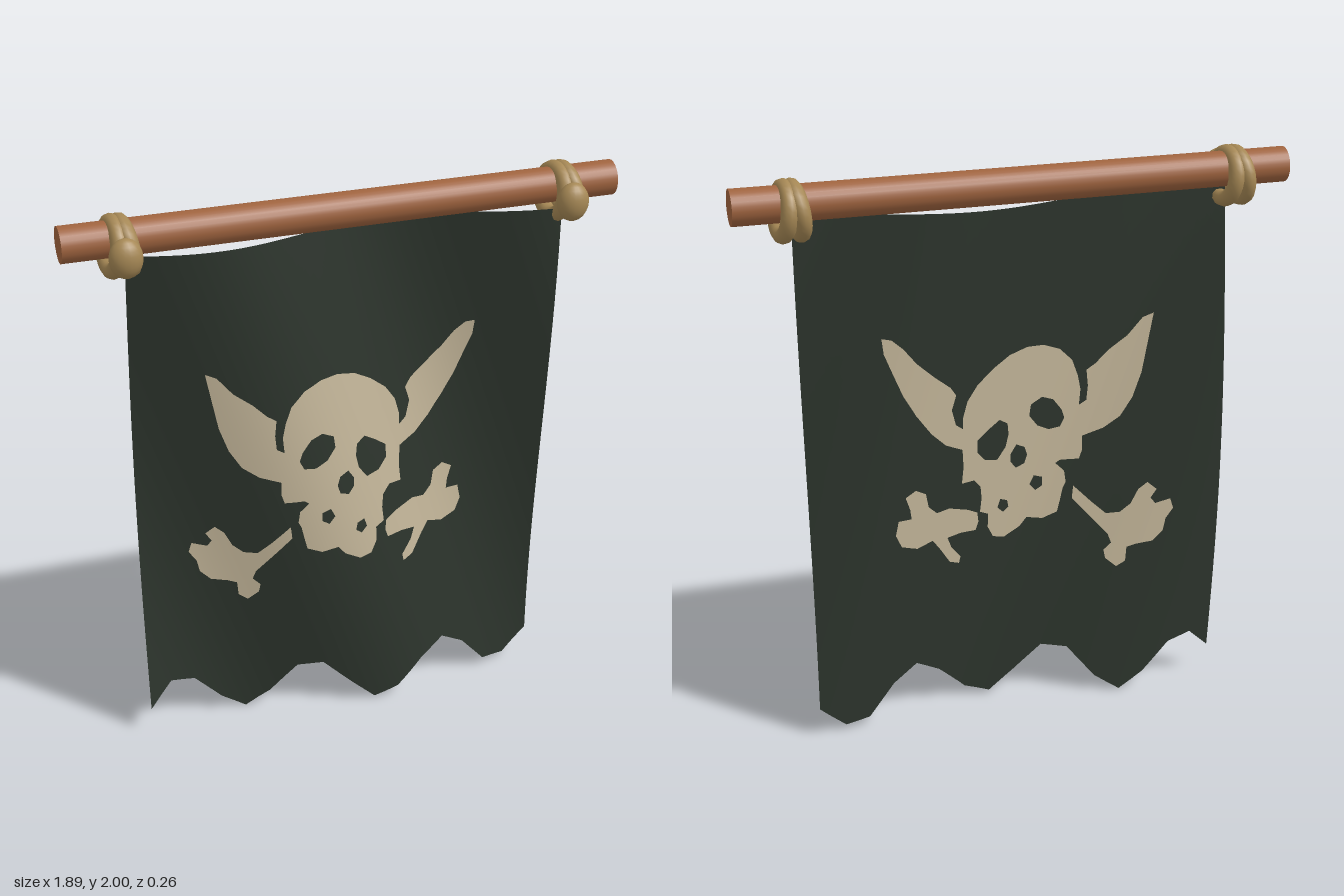
import * as THREE from 'three';

const wood = new THREE.MeshStandardMaterial({ color: 0xa0643f });
wood.name = 'wood';
const rope = new THREE.MeshStandardMaterial({ color: 0xa68855 });
rope.name = 'rope';
const cloth = new THREE.MeshStandardMaterial({ color: 0x2d352d, side: THREE.DoubleSide });
cloth.name = 'dark cloth';
const paint = new THREE.MeshStandardMaterial({ color: 0xc8ba9d, side: THREE.DoubleSide });
paint.name = 'bone paint';

// A wave that drifts sideways down the cloth
const K = 5.2;
const phase = (x, y) => K * (x + 0.45 - 0.337 * (1.855 - y));
const waveZ = (x, y) => -0.02 + 0.06 * Math.cos(phase(x, y));

// Cuts a flat shape into small triangles and lays it on the wave
function drape(shape, offset) {
  const flat = new THREE.ShapeGeometry(shape);
  const p = flat.attributes.position;
  const idx = flat.index.array;
  const pos = [];
  const nor = [];
  const n = new THREE.Vector3();
  const split = (a, b, c) => {
    const ab = a.distanceTo(b), bc = b.distanceTo(c), ca = c.distanceTo(a);
    const longest = Math.max(ab, bc, ca);
    if (longest > 0.06) {
      if (longest === bc) [a, b, c] = [b, c, a];
      else if (longest === ca) [a, b, c] = [c, a, b];
      const m = a.clone().add(b).multiplyScalar(0.5);
      split(a, m, c);
      split(m, b, c);
      return;
    }
    for (const v of [a, b, c]) {
      const s = 0.06 * K * Math.sin(phase(v.x, v.y));
      n.set(s, s * 0.337, 1).normalize();
      pos.push(v.x, v.y, waveZ(v.x, v.y) + offset);
      nor.push(n.x, n.y, n.z);
    }
  };
  const at = (i) => new THREE.Vector2(p.getX(i), p.getY(i));
  for (let i = 0; i < idx.length; i += 3) split(at(idx[i]), at(idx[i + 1]), at(idx[i + 2]));
  const g = new THREE.BufferGeometry();
  g.setAttribute('position', new THREE.Float32BufferAttribute(pos, 3));
  g.setAttribute('normal', new THREE.Float32BufferAttribute(nor, 3));
  return g;
}

// Turns x, y pairs into points
function points(list, scale = 1) {
  const out = [];
  for (let i = 0; i < list.length; i += 2) out.push(new THREE.Vector2(list[i] * scale, list[i + 1] * scale));
  return out;
}

// Emblem outlines, drawn on a grid of 0.0053 units
const GRID = 0.0053;
const skull = [
  -95, 268, -88, 265, -78, 253, -66, 244, -57, 235, -51, 231, -52, 220, -51, 210, -46, 207,
  -47, 218, -45, 228, -41, 239, -32, 248, -20, 253, -8, 254, 5, 251, 17, 244, 28, 235, 35, 225,
  38, 214, 38, 206, 43, 210, 46, 221, 43, 231, 47, 237, 58, 246, 69, 256, 77, 266, 84, 272,
  90, 273, 89, 263, 84, 250, 78, 235, 70, 221, 60, 207, 50, 197, 38, 191, 37, 178, 38, 166,
  29, 166, 24, 160, 23, 151, 24, 141, 18, 138, 18, 128, 14, 120, 6, 118, -5, 124, -10, 130,
  -21, 128, -31, 132, -33, 140, -35, 149, -37, 153, -36, 161, -30, 167, -33, 169, -46, 169,
  -48, 175, -48, 185, -62, 190, -73, 198, -81, 211, -87, 228, -91, 248,
];
const skullHoles = [
  [-34, 205, -28, 213, -20, 216, -12, 212, -11, 204, -17, 196, -25, 192, -33, 193, -36, 199],
  [5, 202, 11, 206, 19, 201, 27, 195, 27, 186, 21, 179, 12, 177, 6, 185, 4, 194],
  [-8, 182, -2, 185, 2, 179, 2, 173, -2, 168, -8, 170, -10, 176],
  [-21, 158, -15, 160, -12, 154, -16, 149, -21, 152],
  [4, 145, 9, 147, 11, 141, 7, 137, 3, 140],
];
const rightBone = [
  -90, 152, -84, 147, -79, 137, -72, 131, -63, 130, -54, 138, -47, 145, -42, 150, -41, 141,
  -49, 132, -57, 123, -64, 115, -66, 109, -61, 104, -62, 98, -69, 92, -75, 96, -76, 106,
  -82, 108, -93, 110, -100, 117, -102, 126, -107, 133, -105, 140, -95, 137, -92, 141, -96, 147,
];
const leftBone = [
  26, 141, 33, 145, 47, 150, 56, 149, 62, 155, 64, 165, 71, 169, 78, 165, 75, 156, 74, 149,
  83, 149, 85, 139, 81, 130, 70, 126, 59, 129, 54, 122, 46, 109, 39, 106, 38, 111, 45, 120,
  48, 128, 38, 129, 27, 128, 25, 134,
];

// Ragged lower edge of the cloth
const hem = [
  -0.74, 0.1, -0.655, 0.185, -0.565, 0.165, -0.465, 0.06, -0.375, 0, -0.285, 0.06,
  -0.19, 0.175, -0.1, 0.185, 0, 0.09, 0.09, 0.01, 0.18, 0.04, 0.28, 0.135,
  0.37, 0.19, 0.46, 0.135, 0.555, 0.025, 0.645, 0.02, 0.74, 0.105,
];

export function createModel() {
  const model = new THREE.Group();
  model.name = 'hangingBanner';
  const add = (parent, name, geometry, material) => {
    const mesh = new THREE.Mesh(geometry, material);
    mesh.name = name;
    parent.add(mesh);
    return mesh;
  };

  // Pole
  const pole = add(model, 'pole', new THREE.CylinderGeometry(0.06, 0.06, 1.89, 24), wood);
  pole.rotation.z = Math.PI / 2;
  pole.position.set(0, 1.92, -0.025);

  // Cloth
  const sheet = new THREE.Shape([...points(hem), ...points([0.74, 1.857, -0.74, 1.857])]);
  add(model, 'cloth', drape(sheet, 0), cloth);

  // Emblem on both faces of the cloth
  const skullShape = new THREE.Shape(points(skull, GRID));
  skullShape.holes = skullHoles.map((h) => new THREE.Path(points(h, GRID)));
  const emblem = {
    skull: skullShape,
    rightBone: new THREE.Shape(points(rightBone, GRID)),
    leftBone: new THREE.Shape(points(leftBone, GRID)),
  };
  for (const [name, shape] of Object.entries(emblem)) {
    add(model, name + 'Front', drape(shape, 0.004), paint);
    add(model, name + 'Back', drape(shape, -0.004), paint);
  }

  // Rope lashings: two tilted loops and a knot at each end
  const loop = new THREE.TorusGeometry(0.077, 0.028, 10, 28);
  const ball = new THREE.SphereGeometry(1, 18, 12);
  for (const [side, x] of [['right', -0.757], ['left', 0.755]]) {
    const lashing = new THREE.Group();
    lashing.name = side + 'Lashing';
    lashing.position.set(x, 1.895, -0.023);
    for (const s of [-1, 1]) {
      const ring = add(lashing, 'ropeLoop', loop, rope);
      ring.rotation.set(0, Math.PI / 2 + 0.1, s * 0.12, 'ZYX');
      ring.position.x = s * 0.021;
    }
    const knot = add(lashing, 'knot', ball, rope);
    knot.scale.set(0.055, 0.066, 0.043);
    knot.position.set(0, 0, 0.113);
    model.add(lashing);
  }
  return model;
}
